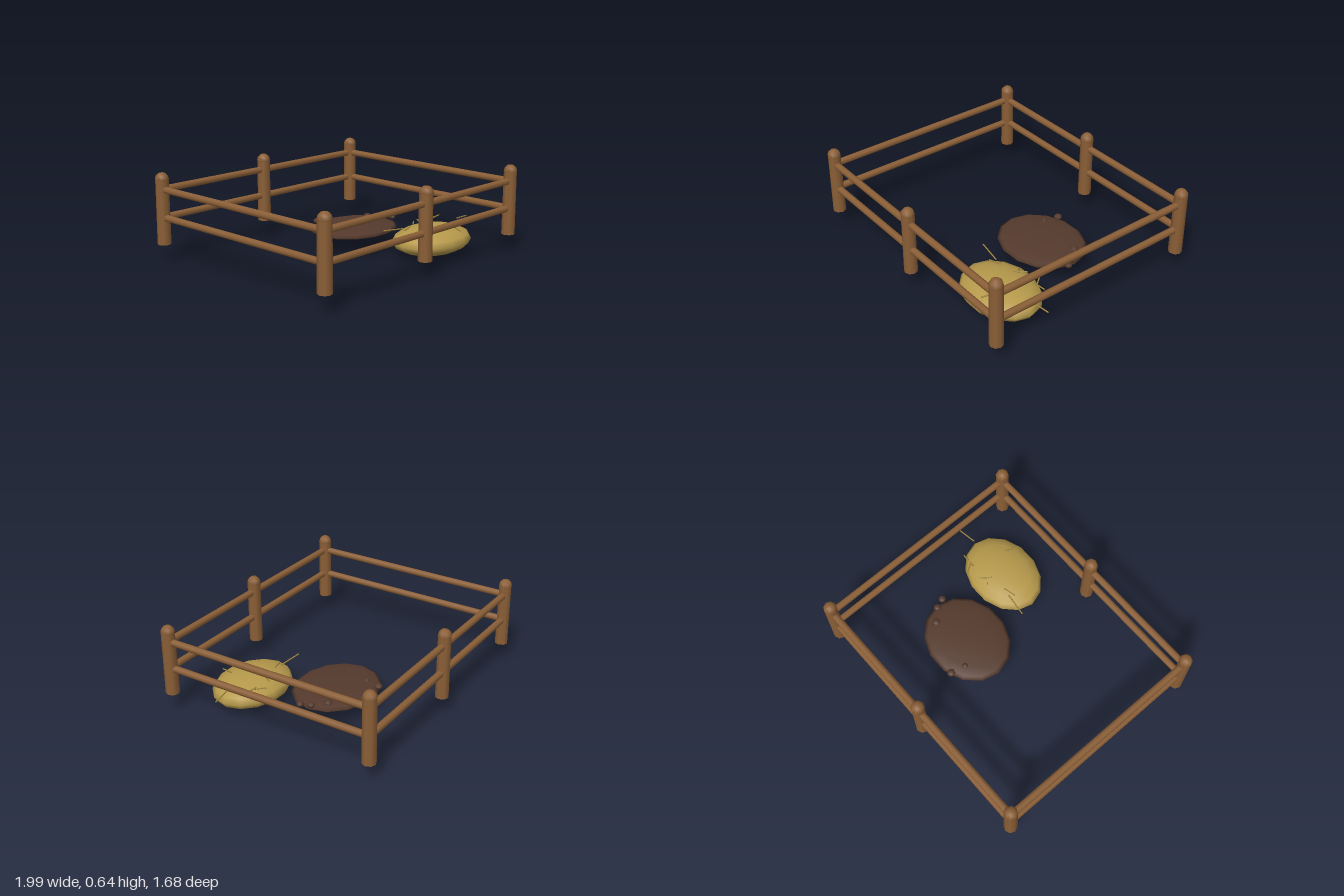
import * as THREE from 'three';

function material(name, color) {
  const m = new THREE.MeshStandardMaterial({ color });
  m.name = name;
  return m;
}

export function createModel() {
  const group = new THREE.Group();
  const wood = material('wood', 0x8b5f37);
  const mud = material('mud', 0x553a2d);
  const hay = material('hay', 0xb6994b);
  const straw = material('straw', 0xa58a40);

  function add(name, geometry, mat, x = 0, y = 0, z = 0, parent = group) {
    const mesh = new THREE.Mesh(geometry, mat);
    mesh.name = name;
    mesh.position.set(x, y, z);
    parent.add(mesh);
    return mesh;
  }

  // Round rod running between two points
  function rod(name, from, to, radius, sides, mat) {
    const a = new THREE.Vector3(...from), b = new THREE.Vector3(...to);
    const dir = b.clone().sub(a);
    const mesh = add(name, new THREE.CylinderGeometry(radius, radius, dir.length(), sides), mat);
    mesh.position.copy(a).add(b).multiplyScalar(0.5);
    mesh.quaternion.setFromUnitVectors(new THREE.Vector3(0, 1, 0), dir.normalize());
  }

  // Posts with domed caps
  const xs = [-0.95, -0.005, 0.945], zs = [-0.795, 0.785];
  const shaft = new THREE.CylinderGeometry(0.047, 0.049, 0.465, 8);
  const cap = new THREE.SphereGeometry(0.049, 8, 6);
  for (const x of xs) for (const z of zs) {
    const post = new THREE.Group();
    post.name = 'post';
    post.position.set(x, 0, z);
    group.add(post);
    add('postShaft', shaft, wood, 0, 0.3675, 0, post);
    add('postCap', cap, wood, 0, 0.6, 0, post);
  }

  // Two rails on every side of the pen
  for (const y of [0.328, 0.528]) {
    for (const z of zs) for (let i = 0; i < 2; i++) {
      rod('frontBackRail', [xs[i], y, z], [xs[i + 1], y, z], 0.025, 8, wood);
    }
    for (const x of [xs[0], xs[2]]) rod('sideRail', [x, y, zs[0]], [x, y, zs[1]], 0.025, 8, wood);
  }

  // Mud patch with clods
  add('mudPatch', new THREE.SphereGeometry(1, 14, 8), mud, 0.288, 0.142, -0.13).scale.set(0.35, 0.04, 0.292);
  const clods = [[0.16, -0.39, 0.031], [0.135, -0.28, 0.024], [0.53, -0.22, 0.031],
    [0.615, -0.14, 0.028], [0.643, -0.07, 0.028]];
  for (const [x, z, r] of clods) {
    add('mudClod', new THREE.SphereGeometry(r, 7, 5), mud, x, 0.166, z).scale.y = 0.7;
  }

  // Hay heap
  add('hayHeap', new THREE.SphereGeometry(1, 14, 8), hay, 0.52, 0.112, 0.42).scale.set(0.33, 0.103, 0.252);

  // Loose straws
  const straws = [
    [[0.15, 0.217, 0.285], [0.33, 0.203, 0.31]],
    [[0.3, 0.2, 0.345], [0.39, 0.207, 0.32]],
    [[0.52, 0.208, 0.31], [0.575, 0.212, 0.235]],
    [[0.66, 0.216, 0.195], [0.72, 0.204, 0.275]],
    [[0.68, 0.203, 0.27], [0.79, 0.213, 0.268]],
    [[0.585, 0.195, 0.63], [0.615, 0.21, 0.53]],
    [[0.83, 0.205, 0.405], [0.97, 0.196, 0.385]],
    [[0.505, 0.18, 0.255], [0.507, 0.215, 0.257]],
  ];
  for (const [a, b] of straws) rod('straw', a, b, 0.005, 5, straw);

  return group;
}
